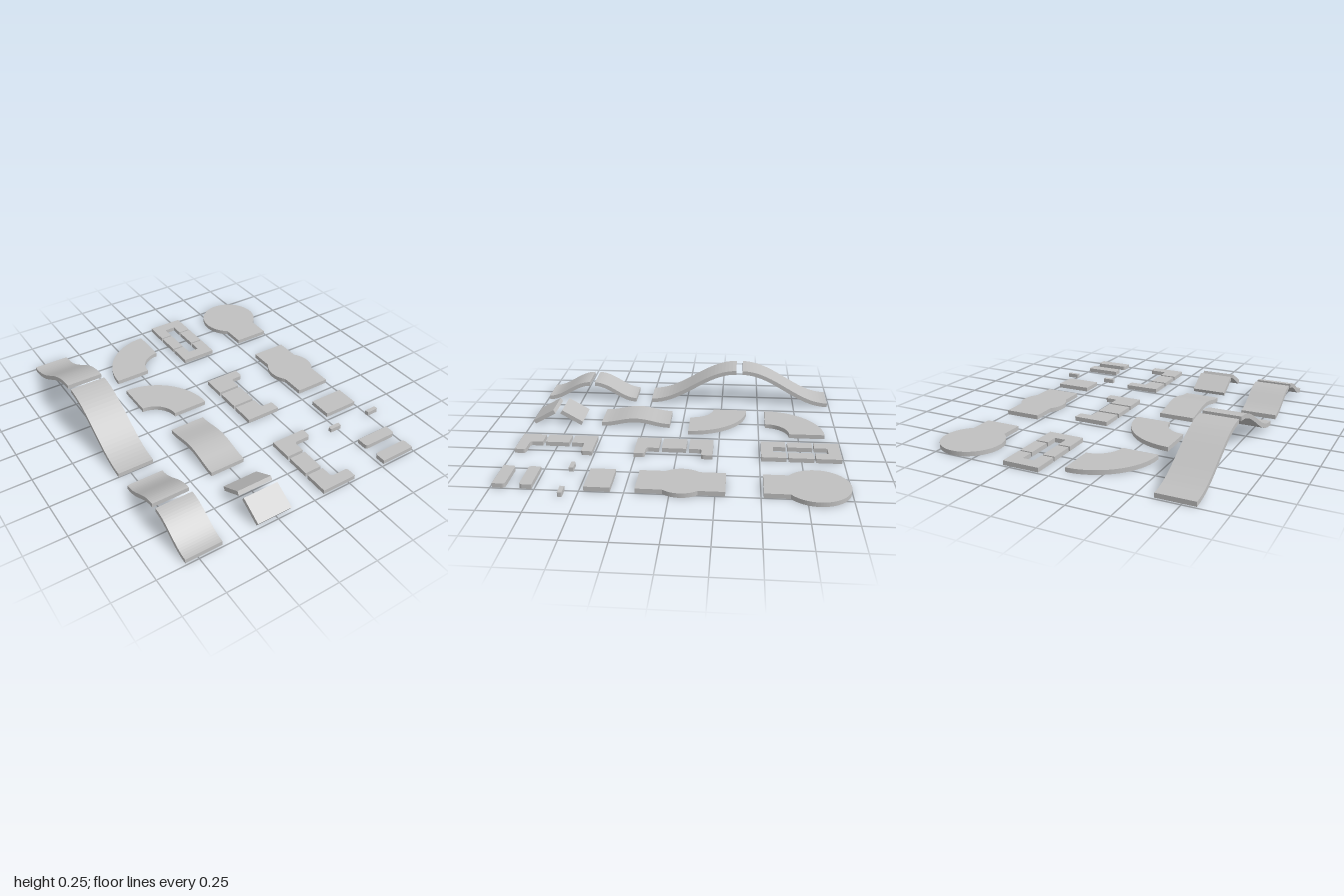
import * as THREE from 'three';

const T = 0.027; // plate thickness

export function createModel() {
  const root = new THREE.Group();
  const grey = new THREE.MeshStandardMaterial({ color: 0xc0c0c0 });
  grey.name = 'plain grey';

  const add = (name, geometry) => {
    const mesh = new THREE.Mesh(geometry, grey);
    mesh.name = name;
    root.add(mesh);
  };

  // Flat plate lying on the ground; the shape is drawn in (x, -z)
  const plate = (name, shape) => {
    const g = new THREE.ExtrudeGeometry(shape, { depth: T, bevelEnabled: false, curveSegments: 32 });
    g.rotateX(-Math.PI / 2);
    add(name, g);
  };

  // Plate from corners [x, z, radius]
  const poly = (name, corners) => {
    const s = new THREE.Shape();
    const n = corners.length;
    const v = corners.map(([x, z]) => new THREE.Vector2(x, -z));
    corners.forEach(([, , r = 0], i) => {
      const p = v[i];
      const toward = (q) => q.clone().sub(p).setLength(r).add(p);
      const a = r ? toward(v[(i + n - 1) % n]) : p;
      if (i === 0) s.moveTo(a.x, a.y);
      else s.lineTo(a.x, a.y);
      if (r) {
        const b = toward(v[(i + 1) % n]);
        s.quadraticCurveTo(p.x, p.y, b.x, b.y);
      }
    });
    s.closePath();
    plate(name, s);
  };
  const rect = (name, x0, x1, z0, z1) => poly(name, [[x0, z0], [x1, z0], [x1, z1], [x0, z1]]);

  // Bent strip of even thickness: the centre line rises by height * rule(t) from z0 to z1
  const strip = (name, x0, x1, z0, z1, base, height, rule, steps) => {
    const top = [], bottom = [];
    const y = (t) => base + height * rule(t);
    for (let i = 0; i <= steps; i++) {
      const t = i / steps;
      const slope = (y(t + 0.001) - y(t - 0.001)) / (0.002 * (z1 - z0));
      const k = T / 2 / Math.hypot(1, slope);
      const z = z0 + (z1 - z0) * t;
      top.push(new THREE.Vector2(z - slope * k, y(t) + k));
      bottom.unshift(new THREE.Vector2(z + slope * k, y(t) - k));
    }
    const g = new THREE.ExtrudeGeometry(new THREE.Shape([...top, ...bottom]), { depth: x1 - x0, bevelEnabled: false });
    g.rotateY(-Math.PI / 2);
    g.translate(x1, 0, 0);
    add(name, g);
  };
  const ease = (t) => (1 - Math.cos(Math.PI * t)) / 2;
  const hump = (t) => (1 - Math.cos(2 * Math.PI * t)) / 2;
  const line = (t) => t;

  // Curved ramps, low end to high end
  strip('largeRampBack', -0.826, -0.601, -0.986, -0.39, T / 2, 0.223, ease, 24);
  strip('largeRampFront', -0.826, -0.601, 0.25, -0.347, T / 2, 0.223, ease, 24);
  strip('smallRampBack', -0.826, -0.601, 0.36, 0.656, T / 2, 0.111, ease, 20);
  strip('smallRampFront', -0.826, -0.601, 0.988, 0.692, T / 2, 0.111, ease, 20);

  // Low hump and two straight tilted ramps
  strip('hump', -0.377, -0.153, 0.08, 0.53, T / 2, 0.032, hump, 28);
  strip('straightRampBack', -0.377, -0.153, 0.662, 0.799, 0.012, 0.078, line, 1);
  strip('straightRampFront', -0.377, -0.153, 0.982, 0.845, 0.012, 0.078, line, 1);

  // Quarter-ring curves
  const quarter = (name, x, z, start) => {
    const s = new THREE.Shape();
    s.absarc(x, -z, 0.373, start, start + Math.PI / 2, false);
    s.absarc(x, -z, 0.149, start + Math.PI / 2, start, true);
    s.closePath();
    plate(name, s);
  };
  quarter('curveLeftTurn', -0.052, -0.544, Math.PI / 2);
  quarter('curveRightTurn', -0.428, -0.048, 0);

  // Split track with a slot: two U ends and two side bars
  const X0 = 0.073, X1 = 0.297;
  const uEnd = (name, outer, inner, slot) => poly(name, [
    [X0, outer], [X1, outer], [X1, inner], [0.219, inner],
    [0.219, slot], [0.148, slot], [0.148, inner], [X0, inner],
  ]);
  uEnd('slotEndBack', -0.987, -0.834, -0.913);
  uEnd('slotEndFront', -0.51, -0.66, -0.583);
  rect('slotSideRight', X0, 0.148, -0.823, -0.672);
  rect('slotSideLeft', 0.219, X1, -0.823, -0.672);

  // Notched tracks: an L at each end and a bar between
  const notched = (name, zMid, xIn) => {
    for (const [side, d] of [['Back', -1], ['Front', 1]]) {
      poly(name + 'End' + side, [
        [X0, zMid + d * 0.238], [X1, zMid + d * 0.238], [X1, zMid + d * 0.17, 0.018],
        [xIn, zMid + d * 0.17, 0.018], [xIn, zMid + d * 0.092], [X0, zMid + d * 0.092],
      ]);
    }
    rect(name + 'Middle', X0, xIn, zMid - 0.074, zMid + 0.074);
  };
  notched('wideNotch', 0.02, 0.217);
  notched('deepNotch', 0.75, 0.182);

  // Round-ended plate
  const cx = 0.633, h = 0.112;
  const paddle = new THREE.Shape();
  const a = Math.asin(h / 0.188);
  paddle.moveTo(cx - h, 0.515);
  paddle.lineTo(cx + h, 0.515);
  paddle.absarc(cx, 0.811, 0.188, -Math.PI / 2 + a, Math.PI * 1.5 - a, false);
  paddle.closePath();
  plate('roundEnd', paddle);

  // Straight plate with a round bulge on both sides
  const bulge = new THREE.Shape();
  const b = Math.acos(h / 0.148);
  bulge.moveTo(cx - h, -0.19);
  bulge.lineTo(cx + h, -0.19);
  bulge.absarc(cx, 0.058, 0.148, -b, b, false);
  bulge.lineTo(cx + h, 0.306);
  bulge.lineTo(cx - h, 0.306);
  bulge.absarc(cx, 0.058, 0.148, Math.PI - b, Math.PI + b, false);
  bulge.closePath();
  plate('bulgedStraight', bulge);

  // Short straight and the little side tabs
  rect('shortStraight', cx - h, cx + h, 0.327, 0.474);
  for (const [side, d] of [['Right', -1], ['Left', 1]]) {
    poly('sideTab' + side, [
      [cx + d * h, 0.578], [cx + d * 0.188, 0.578, 0.006],
      [cx + d * 0.188, 0.604, 0.006], [cx + d * h, 0.604],
    ]);
  }

  // Narrow end bars, rounded on the sides that face each other
  const endBar = (name, square, round) => poly(name, [
    [cx - h, square], [cx + h, square], [cx + h, round, 0.02], [cx - h, round, 0.02],
  ]);
  endBar('endBarBack', 0.765, 0.836);
  endBar('endBarFront', 0.988, 0.915);

  return root;
}
